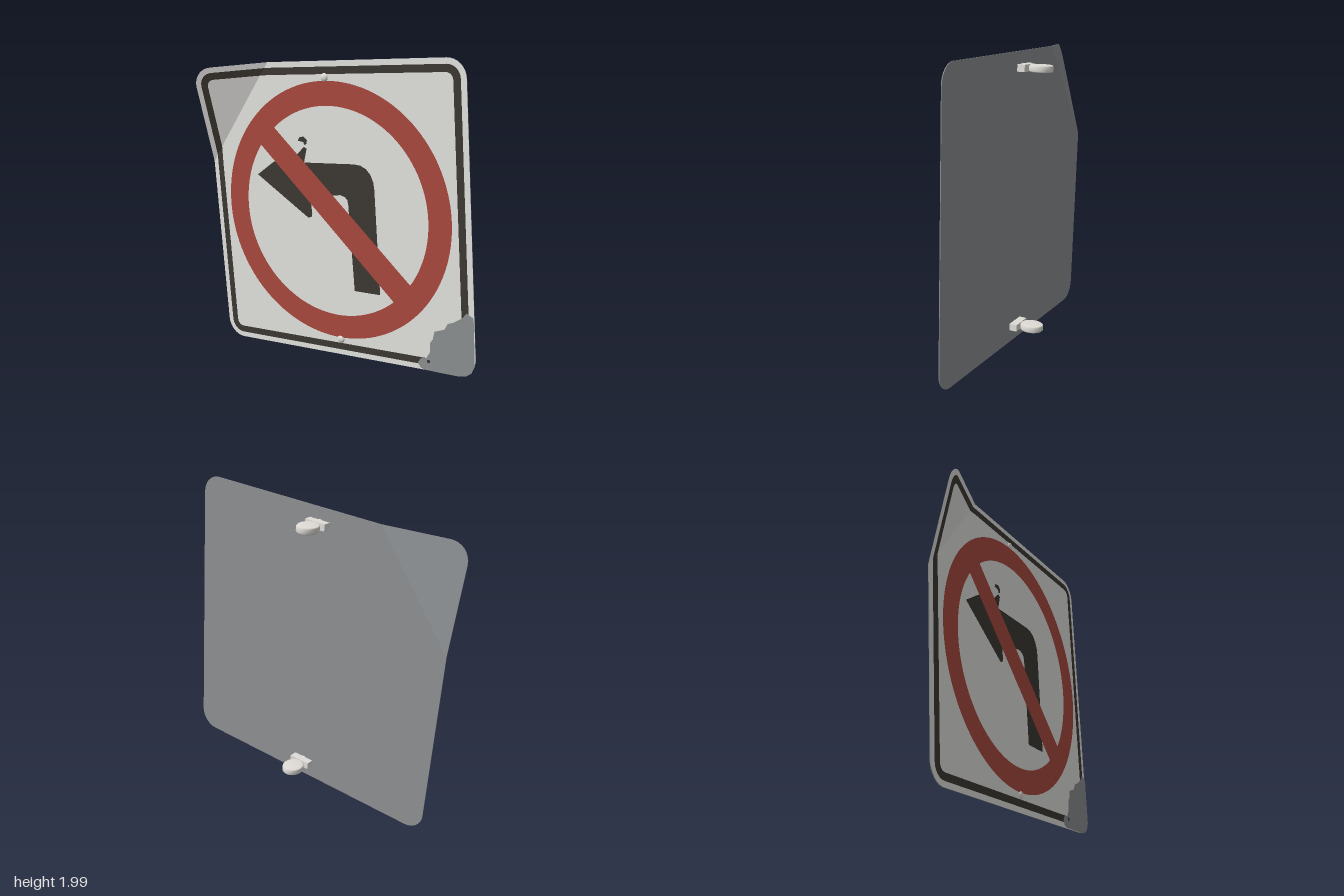
import * as THREE from 'three';

const mat = (name, color) => Object.assign(new THREE.MeshStandardMaterial({ color }), { name });
const YAW = 0.084; // slope of the plate: z grows with x
const THICKNESS = 0.005;
const V = (x, y) => new THREE.Vector2(x, y);

// Line along which the upper corner is bent forward
const FOLD = V(-0.965, 1.225);
const FOLD_NORMAL = V(-0.827, 0.562);
const foldDistance = (x, y) => (x - FOLD.x) * FOLD_NORMAL.x + (y - FOLD.y) * FOLD_NORMAL.y;
const plateZ = (x, y) => 0.06 + YAW * x + 0.42 * Math.max(0, foldDistance(x, y));

// Plate outline, counter-clockwise; radius 0 marks the two ends of the fold
const OUTLINE = [
  [-0.869, -0.006, 1], [1.002, 0.137, 1], [0.862, 2.006, 1],
  [-0.5, 1.91, 0], [-1.0, 1.853, 1], [-0.965, 1.225, 0],
];

// Outline moved inward, with rounded corners
function roundedOutline(inset, radius) {
  const n = OUTLINE.length;
  const at = (i) => V(...OUTLINE[(i + n) % n].slice(0, 2));
  const corners = OUTLINE.map((_, i) => {
    const c = at(i);
    const a = c.clone().sub(at(i - 1)).normalize();
    const b = at(i + 1).sub(c).normalize();
    const na = V(-a.y, a.x), nb = V(-b.y, b.x);
    return c.addScaledVector(na.clone().add(nb), inset / (1 + na.dot(nb)));
  });
  const points = [];
  corners.forEach((c, i) => {
    if (!OUTLINE[i][2]) return points.push(c);
    const u = corners[(i + n - 1) % n].clone().sub(c).normalize();
    const v = corners[(i + 1) % n].clone().sub(c).normalize();
    const on = (d, k) => c.clone().addScaledVector(d, radius * k);
    points.push(...new THREE.CubicBezierCurve(on(u, 1), on(u, 0.448), on(v, 0.448), on(v, 1)).getPoints(8));
  });
  return points;
}

// Part of a convex outline on one side of the fold
function clip(points, side) {
  const out = [];
  points.forEach((p, i) => {
    const q = points[(i + 1) % points.length];
    const dp = side * foldDistance(p.x, p.y), dq = side * foldDistance(q.x, q.y);
    if (dp >= 0) out.push(p);
    if (dp * dq < 0) out.push(p.clone().lerp(q, dp / (dp - dq)));
  });
  return out;
}

// Lay a flat shape on the plate surface
function layer(shape, material, name, lift, back = false) {
  const geo = new THREE.ShapeGeometry(shape, 64);
  const pos = geo.attributes.position;
  for (let i = 0; i < pos.count; i++) {
    pos.setZ(i, plateZ(pos.getX(i), pos.getY(i)) + lift);
  }
  if (back) geo.index.array.reverse();
  geo.computeVertexNormals();
  const mesh = new THREE.Mesh(geo, material);
  mesh.name = name;
  return mesh;
}

// Thin band joining the front and back of the plate
function rim(points, material) {
  const verts = [];
  points.forEach((p, i) => {
    const q = points[(i + 1) % points.length];
    const zp = plateZ(p.x, p.y), zq = plateZ(q.x, q.y);
    const pf = [p.x, p.y, zp], pb = [p.x, p.y, zp - THICKNESS];
    const qf = [q.x, q.y, zq], qb = [q.x, q.y, zq - THICKNESS];
    verts.push(...pb, ...qb, ...pf, ...qb, ...qf, ...pf);
  });
  const geo = new THREE.BufferGeometry();
  geo.setAttribute('position', new THREE.Float32BufferAttribute(verts, 3));
  geo.computeVertexNormals();
  const mesh = new THREE.Mesh(geo, material);
  mesh.name = 'plateRim';
  return mesh;
}

const polygon = (pts) => new THREE.Shape(pts.map(([x, y]) => V(x, y)));

export function createModel() {
  const white = mat('sign white', 0xe6e5e2);
  const dark = mat('dark paint', 0x3d3932);
  const red = mat('faded red', 0xac4a40);
  const grey = mat('bare metal', 0x8e9193);
  const steel = mat('bolt steel', 0xe2dfda);
  const model = new THREE.Group();
  model.name = 'trafficSign';

  // Plate, border and panel, each split along the fold
  const folded = (inset, radius, material, name, lift, back) => {
    const outline = roundedOutline(inset, radius);
    for (const [side, part] of [[-1, 'Main'], [1, 'BentCorner']]) {
      model.add(layer(new THREE.Shape(clip(outline, side)), material, name + part, lift, back));
    }
  };
  folded(0, 0.12, grey, 'plateBack', -THICKNESS, true);
  folded(0, 0.12, white, 'plateFront', 0);
  folded(0.035, 0.085, dark, 'border', 0.002);
  folded(0.08, 0.045, white, 'panel', 0.004);
  model.add(rim(roundedOutline(0, 0.12), grey));

  // Bent arrow with a worn fragment of its head
  model.add(layer(polygon([
    [-0.59, 1.18], [-0.19, 0.945], [-0.165, 0.955], [-0.16, 0.98], [-0.17, 1.05], [-0.1, 1.11],
    [-0.005, 1.115], [0.05, 1.125], [0.085, 1.117], [0.103, 1.1], [0.11, 1.07], [0.16, 0.52],
    [0.345, 0.53], [0.295, 1.19], [0.287, 1.235], [0.265, 1.28], [0.235, 1.31], [0.195, 1.327],
    [0.15, 1.33], [-0.22, 1.3], [-0.2, 1.39], [-0.22, 1.4], [-0.28, 1.34], [-0.36, 1.34], [-0.47, 1.27],
  ]), dark, 'arrow', 0.006));
  model.add(layer(polygon([
    [-0.225, 1.43], [-0.215, 1.412], [-0.2, 1.42], [-0.197, 1.445], [-0.222, 1.465], [-0.255, 1.457], [-0.266, 1.434],
  ]), dark, 'arrowFragment', 0.006));

  // Prohibition ring and diagonal bar
  const ring = new THREE.Shape().absarc(-0.004, 1.003, 0.82, 0, Math.PI * 2);
  ring.holes.push(new THREE.Path().absarc(-0.004, 1.003, 0.669, 0, Math.PI * 2, true));
  model.add(layer(ring, red, 'ring', 0.008));
  model.add(layer(polygon([
    [-0.488, 1.535], [-0.595, 1.413], [0.484, 0.467], [0.592, 0.6],
  ]), red, 'diagonalBar', 0.008));

  // Worn lower corner where the paint is gone
  model.add(layer(polygon([
    [0.972, 0.513], [0.925, 0.535], [0.904, 0.503], [0.846, 0.46], [0.809, 0.444], [0.787, 0.402],
    [0.723, 0.375], [0.713, 0.322], [0.697, 0.3], [0.697, 0.237], [0.675, 0.194], [0.638, 0.184],
    [0.617, 0.152], [0.638, 0.12], [0.67, 0.114], [0.883, 0.127], [0.936, 0.138], [0.973, 0.168], [0.992, 0.215],
  ]), grey, 'wornCorner', 0.006));
  model.add(layer(new THREE.Shape().absarc(0.69, 0.175, 0.011, 0, Math.PI * 2), dark, 'paintSpeck', 0.008));

  // Mounting hardware: front bolt, back block and flat oval lug
  const lugProfile = [[0, -0.021], [0.06, -0.021], [0.066, -0.014], [0.066, 0.014], [0.06, 0.021], [0, 0.021]]
    .map(([x, y]) => V(x, y));
  for (const [name, x, y] of [['upper', -0.066, 1.84], ['lower', 0.058, 0.172]]) {
    const mount = new THREE.Group();
    mount.name = name + 'Mount';
    mount.position.set(x, y, plateZ(x, y));
    mount.rotation.set(0, -YAW, 0.075);
    const add = (geo, part, px, py, pz) => {
      const mesh = new THREE.Mesh(geo, steel);
      mesh.name = part;
      mesh.position.set(px, py, pz);
      mount.add(mesh);
      return mesh;
    };
    add(new THREE.SphereGeometry(0.027, 20, 14), 'bolt', 0, 0, 0).scale.z = 0.6;
    add(new THREE.BoxGeometry(0.146, 0.044, 0.05), 'block', 0, 0, -0.031);
    add(new THREE.LatheGeometry(lugProfile, 28), 'lug', -0.007, 0, -0.128).scale.z = 1.15;
    model.add(mount);
  }
  return model;
}
